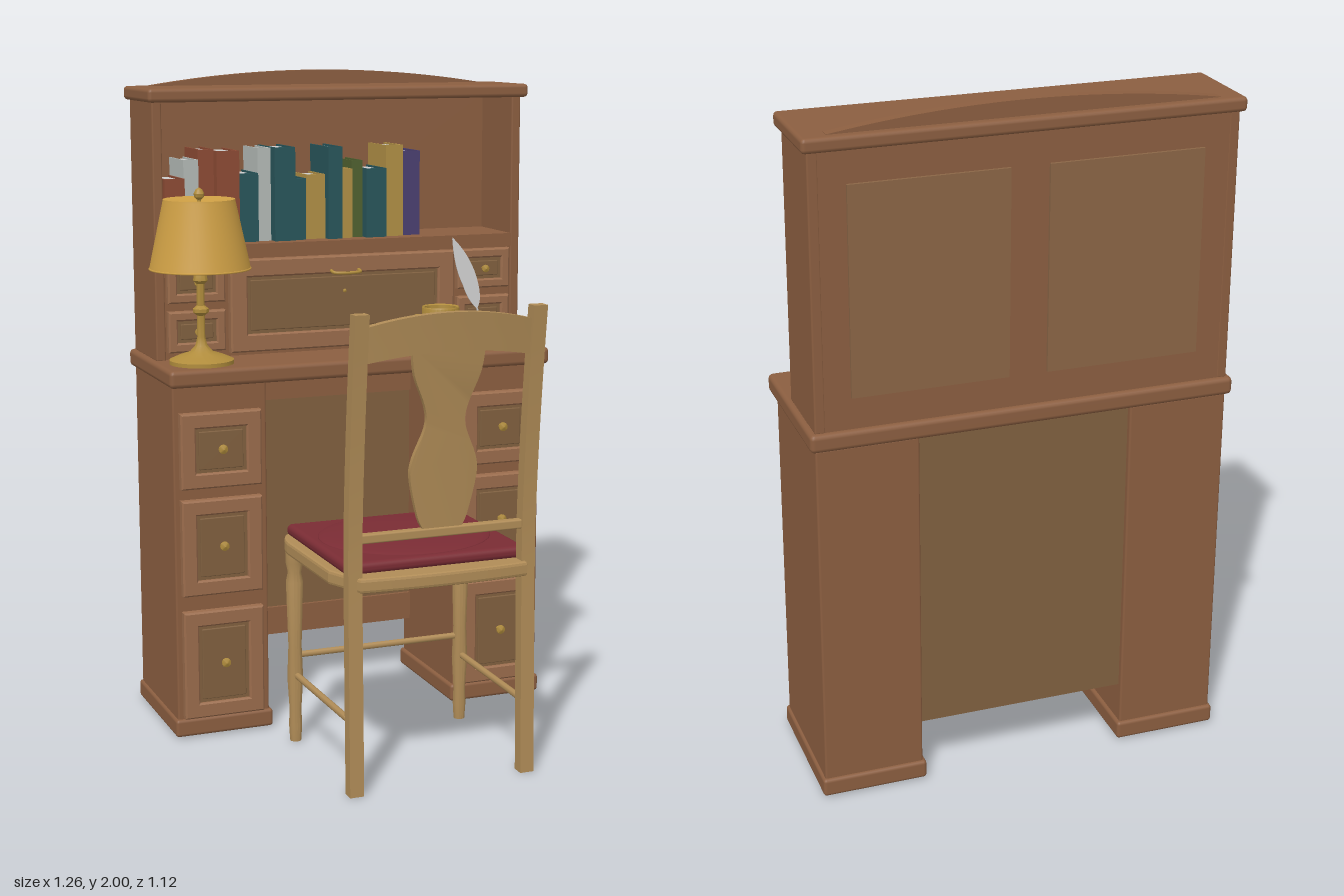
import * as THREE from 'three';
import { RoundedBoxGeometry } from 'three/addons/geometries/RoundedBoxGeometry.js';
import { toCreasedNormals } from 'three/addons/utils/BufferGeometryUtils.js';

const mat = (color, side = THREE.FrontSide) => new THREE.MeshStandardMaterial({ color, side });
const wood = mat(0x8b5e40), front = mat(0x9a6c4c), panel = mat(0x80603f), back = mat(0x8a6546);
const chairWood = mat(0xb08c57), red = mat(0x7a2c34), brass = mat(0xb08c3c), shadeMat = mat(0xcfa045, THREE.DoubleSide);
const ink = mat(0x1d2840), white = mat(0xd6d8d4, THREE.DoubleSide), coffee = mat(0x7a4a28);

function add(parent, name, geo, material, x = 0, y = 0, z = 0) {
  const m = new THREE.Mesh(geo, material);
  m.name = name;
  m.position.set(x, y, z);
  parent.add(m);
  return m;
}
// Box given by its minimum and maximum on each axis
function box(parent, name, material, [x0, x1], [y0, y1], [z0, z1], r = 0) {
  const s = [x1 - x0, y1 - y0, z1 - z0];
  const geo = r ? new RoundedBoxGeometry(...s, 2, r) : new THREE.BoxGeometry(...s);
  return add(parent, name, geo, material, (x0 + x1) / 2, (y0 + y1) / 2, (z0 + z1) / 2);
}
const lathe = (pts, n = 32) =>
  toCreasedNormals(new THREE.LatheGeometry(pts.map(p => new THREE.Vector2(...p)), n), 0.6);
function rod(parent, name, material, points, r) {
  const curve = new THREE.CatmullRomCurve3(points.map(p => new THREE.Vector3(...p)));
  return add(parent, name, new THREE.TubeGeometry(curve, 20, r, 8), material);
}
function rect(w, h, T = THREE.Shape) {
  const s = new T();
  s.moveTo(-w / 2, -h / 2); s.lineTo(w / 2, -h / 2); s.lineTo(w / 2, h / 2); s.lineTo(-w / 2, h / 2); s.closePath();
  return s;
}
// Drawer front: bevelled frame around a sunken panel
function framed(parent, name, [x0, x1], [y0, y1], [z0, z1], inset) {
  const g = new THREE.Group(), w = x1 - x0, h = y1 - y0, d = z1 - z0, b = 0.005;
  g.name = name;
  g.position.set((x0 + x1) / 2, (y0 + y1) / 2, z0);
  const s = rect(w - 2 * b, h - 2 * b);
  s.holes.push(rect(w - 2 * inset, h - 2 * inset, THREE.Path));
  add(g, 'frame', new THREE.ExtrudeGeometry(s, { depth: d - b, bevelSize: b, bevelThickness: b, bevelSegments: 1 }), front);
  add(g, 'sunkenPanel', new THREE.BoxGeometry(w - 2 * inset, h - 2 * inset, d * 0.6), panel, 0, 0, d * 0.3);
  add(g, 'raisedField', new RoundedBoxGeometry(w - 2 * inset - 0.03, h - 2 * inset - 0.03, d * 0.5, 1, 0.003), panel, 0, 0, d * 0.55);
  parent.add(g);
  return g;
}
function knob(parent, x, y, z, s = 1) {
  const k = add(parent, 'knob', lathe([[0, 0], [0.007, 0], [0.006, 0.01], [0.014, 0.018], [0.014, 0.024], [0, 0.031]], 16), brass, x, y, z);
  k.rotation.x = Math.PI / 2;
  k.scale.setScalar(s);
}

function makeDesk() {
  const g = new THREE.Group();
  g.name = 'desk';
  box(g, 'desktop', wood, [-0.618, 0.618], [1.09, 1.143], [-0.557, -0.09], 0.014);
  for (const s of [-1, 1]) {
    const span = (a, b) => [Math.min(s * a, s * b), Math.max(s * a, s * b)];
    box(g, 'pedestal', wood, span(0.31, 0.602), [0.05, 1.092], [-0.542, -0.13], 0.006);
    box(g, 'plinth', wood, span(0.3, 0.61), [0.005, 0.06], [-0.552, -0.12], 0.01);
    for (const [y0, y1] of [[0.065, 0.4], [0.45, 0.745], [0.78, 1.01]]) {
      framed(g, 'drawer', span(0.333, 0.585), [y0, y1], [-0.131, -0.103], 0.042);
      knob(g, s * 0.459, y0 + (y1 - y0) * 0.5 + 0.005, -0.11);
    }
    // Hutch side, front stile and small drawers
    box(g, 'hutchSide', wood, span(0.572, 0.602), [1.14, 1.92], [-0.542, -0.292], 0.005);
    for (const y of [1.165, 1.315]) {
      framed(g, 'smallDrawer', span(0.385, 0.565), [y, y + 0.125], [-0.305, -0.28], 0.024);
      knob(g, s * 0.475, y + 0.063, -0.285, 0.85);
    }
    box(g, 'backPanel', back, span(0.055, 0.5), [1.235, 1.825], [-0.55, -0.54]);
  }
  // Kneehole back with rails
  box(g, 'modestyPanel', panel, [-0.315, 0.315], [0.18, 1.09], [-0.525, -0.5]);
  box(g, 'lowerRail', wood, [-0.315, 0.315], [0.18, 0.27], [-0.51, -0.488]);
  box(g, 'upperRail', wood, [-0.315, 0.315], [0.96, 1.09], [-0.51, -0.488]);
  // Hutch carcass
  box(g, 'hutchBack', wood, [-0.575, 0.575], [1.14, 1.92], [-0.541, -0.515]);
  box(g, 'shelf', wood, [-0.574, 0.574], [1.445, 1.485], [-0.52, -0.292]);
  box(g, 'compartments', wood, [-0.574, 0.574], [1.14, 1.446], [-0.52, -0.304]);
  framed(g, 'dropFront', [-0.37, 0.37], [1.155, 1.44], [-0.305, -0.275], 0.05);
  rod(g, 'pullHandle', brass, [[-0.045, 1.395, -0.28], [-0.042, 1.39, -0.252], [0.042, 1.39, -0.252], [0.045, 1.395, -0.28]], 0.005);
  knob(g, 0, 1.33, -0.285, 0.4);
  box(g, 'cornice', wood, [-0.618, 0.618], [1.915, 1.956], [-0.557, -0.267], 0.012);
  const crest = new THREE.Shape();
  crest.moveTo(-0.547, 1.95);
  crest.lineTo(0.547, 1.95);
  crest.lineTo(0.547, 1.957);
  crest.quadraticCurveTo(0, 2.043, -0.547, 1.957);
  add(g, 'crest', new THREE.ExtrudeGeometry(crest, { depth: 0.03, bevelEnabled: false, curveSegments: 24 }), wood, 0, 0, -0.533);
  return g;
}

function makeBooks() {
  const g = new THREE.Group();
  g.name = 'books';
  const R = 0x8c4a34, T = 0x28555a, G = 0xb08f45, W = 0xb4bab6, N = 0x50602f, P = 0x4b3f70;
  // left edge, right edge, top, colour
  const rows = [[-0.55, -0.487, 1.685, R], [-0.487, -0.44, 1.74, W], [-0.438, -0.388, 1.77, R], [-0.386, -0.314, 1.765, R],
    [-0.312, -0.25, 1.695, T], [-0.248, -0.206, 1.77, W], [-0.201, -0.134, 1.772, T], [-0.132, -0.096, 1.675, T],
    [-0.09, -0.028, 1.685, G], [-0.026, 0.02, 1.77, T], [0.022, 0.058, 1.7, G], [0.06, 0.096, 1.725, N],
    [0.1, 0.168, 1.7, T], [0.17, 0.228, 1.77, G], [0.23, 0.29, 1.75, P]];
  rows.forEach(([x0, x1, top, color], i) => {
    const c = mat(color), z = -0.335 - 0.012 * (i % 3), y = [1.485, top], zb = -0.5;
    box(g, 'spine', c, [x0, x1], y, [z - 0.006, z]);
    box(g, 'cover', c, [x0, x0 + 0.005], y, [zb, z - 0.006]);
    box(g, 'cover', c, [x1 - 0.005, x1], y, [zb, z - 0.006]);
    box(g, 'pages', white, [x0 + 0.005, x1 - 0.005], [1.488, top - 0.006], [zb + 0.005, z - 0.006]);
  });
  return g;
}

function makeLamp() {
  const g = new THREE.Group();
  g.name = 'lamp';
  add(g, 'base', lathe([[0, 0], [0.097, 0], [0.097, 0.012], [0.07, 0.024], [0.035, 0.036], [0.018, 0.055], [0.012, 0.08],
    [0.012, 0.145], [0.024, 0.155], [0.024, 0.165], [0.012, 0.175], [0.012, 0.24], [0.022, 0.25], [0.018, 0.275], [0.006, 0.29],
    [0.006, 0.49], [0.014, 0.497], [0.016, 0.508], [0.01, 0.52], [0, 0.526]]), brass);
  add(g, 'shade', lathe([[0.151, 0.284], [0.148, 0.3], [0.108, 0.485], [0.107, 0.492], [0.09, 0.492], [0.03, 0.482], [0.006, 0.482]], 40), shadeMat);
  add(g, 'shadeRim', new THREE.TorusGeometry(0.15, 0.003, 6, 40).rotateX(Math.PI / 2), shadeMat, 0, 0.286);
  g.position.set(-0.481, 1.143, -0.208);
  return g;
}

function makeMug() {
  const g = new THREE.Group();
  g.name = 'mug';
  add(g, 'cup', lathe([[0, 0], [0.054, 0], [0.058, 0.006], [0.058, 0.138], [0.056, 0.141], [0.051, 0.138], [0.05, 0.12]]), mat(0xb08c3c, THREE.DoubleSide));
  add(g, 'drink', new THREE.CircleGeometry(0.051, 32).rotateX(-Math.PI / 2), coffee, 0, 0.122);
  rod(g, 'handle', brass, [[-0.054, 0.112, 0], [-0.088, 0.11, 0], [-0.098, 0.07, 0], [-0.086, 0.032, 0], [-0.054, 0.03, 0]], 0.008);
  g.position.set(0.273, 1.143, -0.148);
  return g;
}

function makeInkwell() {
  const g = new THREE.Group();
  g.name = 'inkwell';
  add(g, 'bottle', lathe([[0, 0], [0.045, 0], [0.05, 0.012], [0.049, 0.035], [0.035, 0.056], [0.022, 0.062], [0.022, 0.076], [0, 0.076]]), ink);
  add(g, 'collar', new THREE.CylinderGeometry(0.024, 0.024, 0.012, 24), brass, 0, 0.08);
  rod(g, 'quillShaft', white, [[0, 0.05, 0], [-0.025, 0.15, -0.01], [-0.055, 0.26, -0.022], [-0.09, 0.335, -0.033]], 0.003);
  const f = new THREE.Shape();
  f.moveTo(-0.018, 0.115);
  f.quadraticCurveTo(-0.002, 0.14, -0.016, 0.2);
  f.quadraticCurveTo(-0.035, 0.28, -0.092, 0.34);
  f.quadraticCurveTo(-0.088, 0.25, -0.06, 0.19);
  f.quadraticCurveTo(-0.045, 0.14, -0.018, 0.115);
  const geo = new THREE.ExtrudeGeometry(f, { depth: 0.003, bevelEnabled: false }), p = geo.attributes.position;
  for (let i = 0; i < p.count; i++) p.setZ(i, p.getZ(i) + p.getX(i) * 0.36);
  geo.computeVertexNormals();
  add(g, 'feather', geo, white);
  g.position.set(0.45, 1.143, -0.222);
  return g;
}

// Sweep of the chair back at height y
const lean = y => 0.482 + 0.058 * Math.pow(Math.max(0, (y - 0.7) / 0.68), 1.5) + 0.012 * Math.max(0, 1 - y / 0.6);

function makeChair() {
  const g = new THREE.Group();
  g.name = 'chair';
  // Seat frame and cushion
  const s = new THREE.Shape();
  s.moveTo(-0.25, 0.51);
  s.quadraticCurveTo(0, 0.535, 0.25, 0.51);
  s.lineTo(0.298, 0.39);
  s.lineTo(0.302, 0.05);
  s.quadraticCurveTo(0.295, -0.02, 0.265, -0.045);
  s.quadraticCurveTo(0, -0.072, -0.265, -0.045);
  s.quadraticCurveTo(-0.295, -0.02, -0.302, 0.05);
  s.lineTo(-0.298, 0.39);
  s.closePath();
  const seat = new THREE.ExtrudeGeometry(s, { depth: 0.024, bevelSize: 0.007, bevelThickness: 0.009, bevelSegments: 2 });
  add(g, 'seatFrame', seat.rotateX(Math.PI / 2), chairWood, 0, 0.627);
  const cushion = new RoundedBoxGeometry(0.56, 0.036, 0.505, 5, 0.016);
  add(g, 'cushion', cushion, red, 0, 0.65, 0.212);
  const dome = new THREE.SphereGeometry(1, 32, 8, 0, Math.PI * 2, 0, Math.PI / 2).scale(0.26, 0.02, 0.235);
  add(g, 'cushionCrown', dome, red, 0, 0.666, 0.212);
  // Legs, back posts and side stretchers
  for (const x of [-0.272, 0.272]) {
    add(g, 'frontLeg', lathe([[0, 0], [0.017, 0], [0.02, 0.05], [0.018, 0.1], [0.024, 0.2], [0.02, 0.3], [0.026, 0.5], [0.02, 0.53], [0.027, 0.56], [0.027, 0.6]], 16), chairWood, x, 0, 0.01);
    const post = new THREE.BoxGeometry(0.042, 1.38, 0.038, 1, 24, 1), p = post.attributes.position;
    for (let i = 0; i < p.count; i++) {
      const y = p.getY(i) + 0.69;
      p.setXYZ(i, p.getX(i), y, p.getZ(i) + lean(y));
    }
    post.computeVertexNormals();
    add(g, 'backPost', post, chairWood, x * 0.975);
    rod(g, 'sideStretcher', chairWood, [[x, 0.21, 0.01], [x * 0.98, 0.21, 0.49]], 0.01);
  }
  rod(g, 'frontStretcher', chairWood, [[-0.27, 0.27, 0.01], [0.27, 0.27, 0.01]], 0.01);
  box(g, 'lowerBackRail', chairWood, [-0.25, 0.25], [0.73, 0.757], [0.47, 0.497], 0.005);
  // Vase-shaped splat, bent to the lean of the posts
  const half = [[0.055, 0.75], [0.075, 0.79], [0.1, 0.9], [0.095, 0.96], [0.06, 1.05], [0.065, 1.11], [0.1, 1.2], [0.11, 1.28]];
  const right = new THREE.SplineCurve(half.map(p => new THREE.Vector2(...p))).getPoints(28);
  const left = right.map(p => new THREE.Vector2(-p.x, p.y)).reverse();
  const splat = new THREE.ExtrudeGeometry(new THREE.Shape([...right, ...left]), { depth: 0.016, bevelEnabled: false });
  const sp = splat.attributes.position;
  for (let i = 0; i < sp.count; i++) sp.setZ(i, sp.getZ(i) + lean(sp.getY(i)) - 0.008);
  add(g, 'splat', toCreasedNormals(splat, 0.6), chairWood);
  // Crest rail, arched in elevation and bowed in plan
  const rail = new THREE.BoxGeometry(0.55, 1, 0.026, 24, 4, 1), rp = rail.attributes.position;
  for (let i = 0; i < rp.count; i++) {
    const x = rp.getX(i), c = 1 - (x / 0.275) ** 2, t = rp.getY(i) + 0.5;
    const y = (1.235 + 0.03 * c) * (1 - t) + (1.335 + 0.04 * c) * t;
    rp.setXYZ(i, x, y, rp.getZ(i) + lean(y) + 0.018 * c - 0.008);
  }
  add(g, 'crestRail', toCreasedNormals(rail, 0.6), chairWood);
  g.position.x = 0.004;
  return g;
}

export function createModel() {
  const model = new THREE.Group();
  model.name = 'writingDesk';
  const desk = makeDesk();
  desk.position.x = 0.005;
  model.add(desk, makeBooks(), makeLamp(), makeMug(), makeInkwell(), makeChair());
  return model;
}
